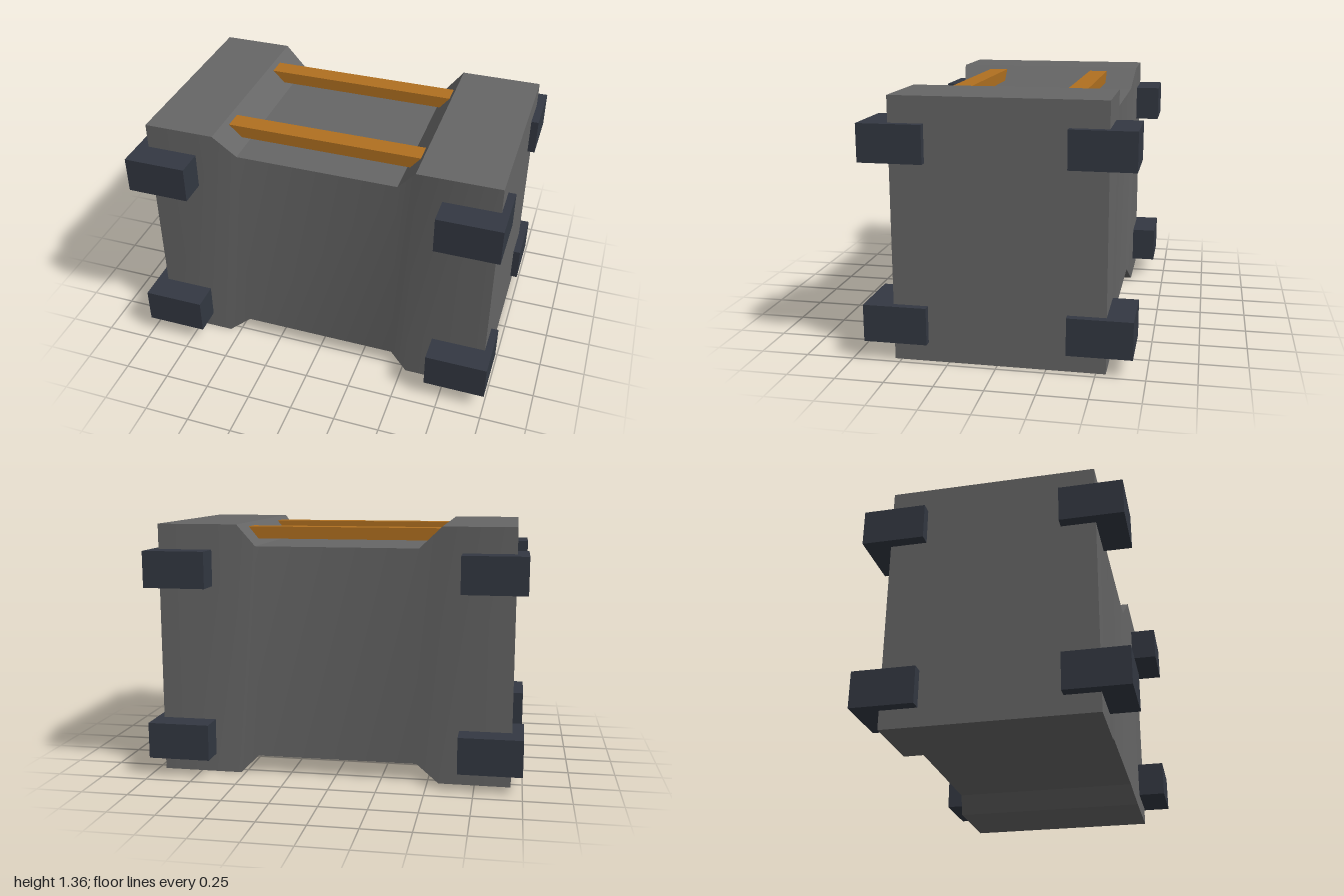
import * as THREE from 'three';
import { toCreasedNormals } from 'three/addons/utils/BufferGeometryUtils.js';

const bodyMat = new THREE.MeshStandardMaterial({ color: 0x666666 });
const bumperMat = new THREE.MeshStandardMaterial({ color: 0x333842 });
const railMat = new THREE.MeshStandardMaterial({ color: 0xb07020 });

// Box given by its lower and upper corners
function box(name, [x0, y0, z0], [x1, y1, z1], material) {
  const mesh = new THREE.Mesh(new THREE.BoxGeometry(x1 - x0, y1 - y0, z1 - z0), material);
  mesh.position.set((x0 + x1) / 2, (y0 + y1) / 2, (z0 + z1) / 2);
  mesh.name = name;
  return mesh;
}

// Rectangular sections joined along x, closed at both ends
function bodyGeometry() {
  const full = [0, 1.36, -0.55, 0.535];
  const waist = [0.095, 1.245, -0.53, 0.51];
  const sections = [
    [-0.94, full], [-0.56, full], [-0.44, waist],
    [0.43, waist], [0.525, full], [0.96, full],
  ];
  const positions = [];
  const index = [];
  for (const [x, [y0, y1, z0, z1]] of sections) {
    positions.push(x, y0, z1, x, y1, z1, x, y1, z0, x, y0, z0);
  }
  const quad = (a, b, c, d) => index.push(a, b, c, a, c, d);
  for (let s = 0; s < sections.length - 1; s++) {
    for (let k = 0; k < 4; k++) {
      const a = s * 4 + k;
      const b = s * 4 + (k + 1) % 4;
      quad(a, a + 4, b + 4, b);
    }
  }
  const e = (sections.length - 1) * 4;
  quad(0, 1, 2, 3);
  quad(e + 3, e + 2, e + 1, e);
  const geometry = new THREE.BufferGeometry();
  geometry.setAttribute('position', new THREE.Float32BufferAttribute(positions, 3));
  geometry.setIndex(index);
  return toCreasedNormals(geometry, 0.5);
}

export function createModel() {
  const model = new THREE.Group();
  model.name = 'crate';

  // Body with a narrowed waist
  const body = new THREE.Mesh(bodyGeometry(), bodyMat);
  body.name = 'body';
  model.add(body);

  // Eight corner bumpers
  const bumpers = new THREE.Group();
  bumpers.name = 'cornerBumpers';
  for (const [x0, x1] of [[-1, -0.665], [0.665, 1]]) {
    for (const [y0, y1] of [[0.1, 0.295], [1.03, 1.225]]) {
      for (const [z0, z1] of [[-0.685, -0.355], [0.355, 0.685]]) {
        bumpers.add(box('cornerBumper', [x0, y0, z0], [x1, y1, z1], bumperMat));
      }
    }
  }
  model.add(bumpers);

  // Two carrying rails spanning the recess on top
  for (const [z0, z1] of [[-0.37, -0.265], [0.26, 0.365]]) {
    model.add(box('topRail', [-0.54, 1.275, z0], [0.508, 1.34, z1], railMat));
  }
  return model;
}
